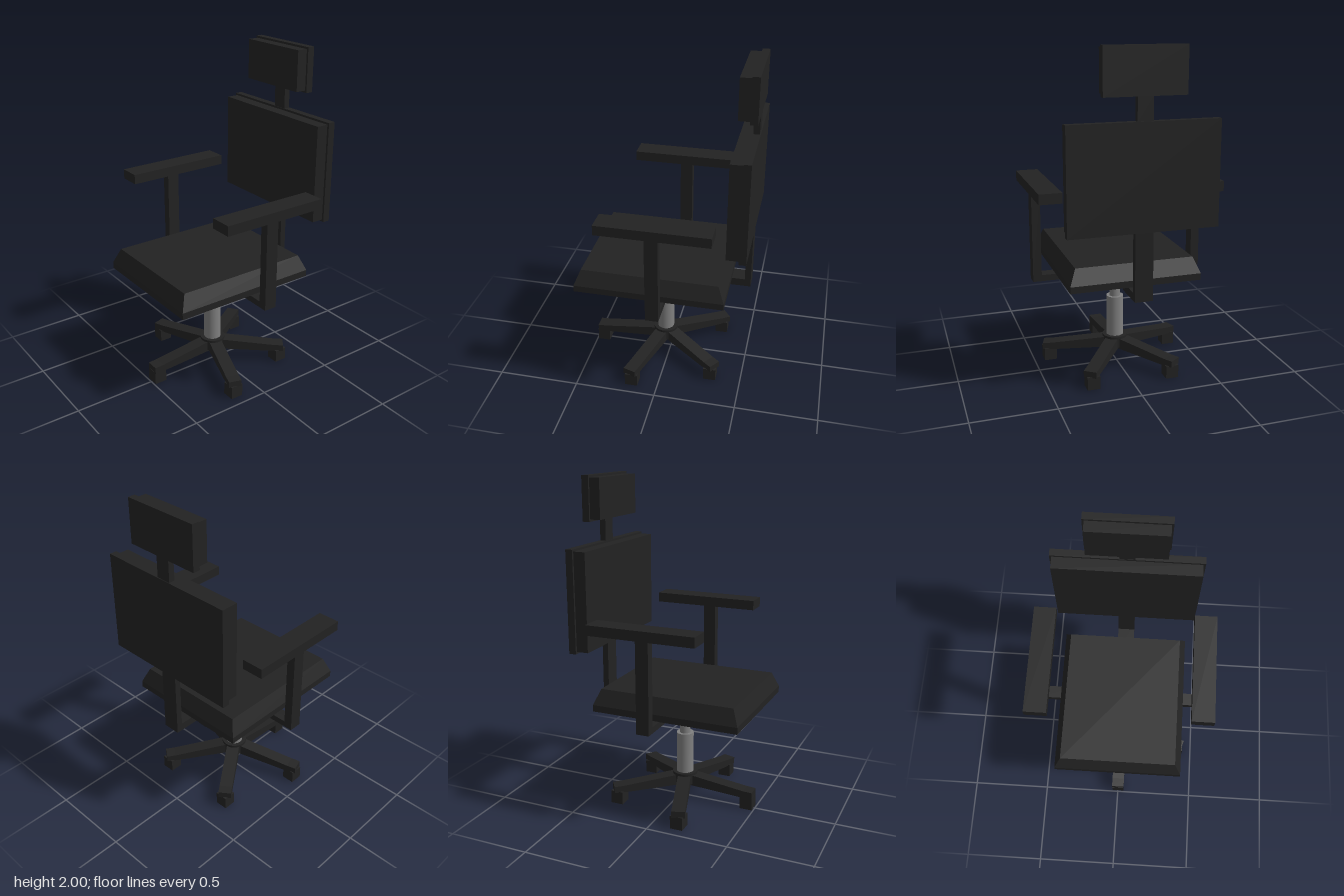
import * as THREE from 'three';

const black = new THREE.MeshStandardMaterial({ color: 0x222222, name: 'black' });
const grey = new THREE.MeshStandardMaterial({ color: 0x808080, name: 'grey metal' });

// Box given by its limits on each axis
function box(parent, name, [x0, x1], [y0, y1], [z0, z1]) {
  const mesh = new THREE.Mesh(new THREE.BoxGeometry(x1 - x0, y1 - y0, z1 - z0), black);
  mesh.position.set((x0 + x1) / 2, (y0 + y1) / 2, (z0 + z1) / 2);
  mesh.name = name;
  parent.add(mesh);
  return mesh;
}

function cylinder(parent, name, r, y0, y1, z, material) {
  const mesh = new THREE.Mesh(new THREE.CylinderGeometry(r, r, y1 - y0, 32), material);
  mesh.position.set(0, (y0 + y1) / 2, z);
  mesh.name = name;
  parent.add(mesh);
}

// Seat cushion: straight rim, then sides leaning inwards to the top
function seatGeometry() {
  const g = new THREE.BoxGeometry(0.788, 0.135, 0.908, 1, 2, 1);
  const p = g.attributes.position;
  for (let i = 0; i < p.count; i++) {
    const y = p.getY(i);
    if (y > 0.05) {
      p.setX(i, Math.sign(p.getX(i)) * 0.355);
      p.setZ(i, Math.sign(p.getZ(i)) * 0.415);
    } else if (y > -0.05) p.setY(i, -0.0275);
  }
  const flat = g.toNonIndexed();
  flat.computeVertexNormals();
  return flat;
}

// Base leg: lies along +z, tapering in height towards the tip
function legGeometry() {
  const side = new THREE.Shape([
    [0, 0.095], [0.37, 0.075], [0.457, 0.075], [0.457, 0.115], [0.4, 0.118], [0.05, 0.16], [0, 0.16],
  ].map(([z, y]) => new THREE.Vector2(z, y)));
  const g = new THREE.ExtrudeGeometry(side, { depth: 0.08, bevelEnabled: false });
  g.translate(0, 0, -0.04);
  g.rotateY(-Math.PI / 2);
  return g;
}

export function createModel() {
  const chair = new THREE.Group();
  chair.name = 'officeChair';
  const axisZ = 0.032;

  // Five-legged base with block casters
  const base = new THREE.Group();
  base.name = 'base';
  chair.add(base);
  const legGeo = legGeometry();
  for (let i = 0; i < 5; i++) {
    const a = (i * Math.PI * 2) / 5;
    const leg = new THREE.Mesh(legGeo, black);
    leg.name = 'baseLeg';
    leg.position.z = axisZ;
    leg.rotation.y = a;
    base.add(leg);
    const x = Math.sin(a) * 0.42, z = axisZ + Math.cos(a) * 0.42;
    box(base, 'caster', [x - 0.039, x + 0.039], [0, 0.08], [z - 0.039, z + 0.039]);
  }
  cylinder(base, 'hub', 0.078, 0.1, 0.172, axisZ, black);

  // Gas lift
  cylinder(chair, 'lowerColumn', 0.053, 0.165, 0.43, axisZ, grey);
  cylinder(chair, 'upperColumn', 0.034, 0.43, 0.58, axisZ, grey);

  // Seat and its mounting plate
  box(chair, 'seatPlate', [-0.142, 0.142], [0.575, 0.636], [-0.127, 0.19]);
  const seat = new THREE.Mesh(seatGeometry(), black);
  seat.name = 'seat';
  seat.position.set(0, 0.7025, 0.058);
  chair.add(seat);

  // Back support, back panel and cushion
  box(chair, 'backBracket', [-0.053, 0.053], [0.587, 0.635], [-0.512, -0.3]);
  box(chair, 'backPost', [-0.053, 0.053], [0.635, 1.0], [-0.512, -0.475]);
  box(chair, 'backPanel', [-0.438, 0.438], [0.99, 1.602], [-0.517, -0.473]);
  box(chair, 'backCushion', [-0.425, 0.425], [1.003, 1.59], [-0.473, -0.4]);

  // Headrest
  box(chair, 'neckPost', [-0.045, 0.045], [1.6, 1.737], [-0.512, -0.475]);
  box(chair, 'headrestPanel', [-0.237, 0.237], [1.735, 2], [-0.517, -0.473]);
  box(chair, 'headrestCushion', [-0.225, 0.225], [1.748, 1.988], [-0.473, -0.408]);

  // Armrests, mirrored
  for (const s of [-1, 1]) {
    const arm = new THREE.Group();
    arm.name = s > 0 ? 'leftArmrest' : 'rightArmrest';
    const span = (a, b) => (s > 0 ? [a, b] : [-b, -a]);
    box(arm, 'armBracket', span(0.317, 0.531), [0.598, 0.636], [-0.04, 0.038]);
    box(arm, 'armPost', span(0.479, 0.531), [0.636, 1.148], [-0.04, 0.038]);
    box(arm, 'armPad', span(0.415, 0.549), [1.146, 1.206], [-0.34, 0.32]);
    chair.add(arm);
  }
  return chair;
}
